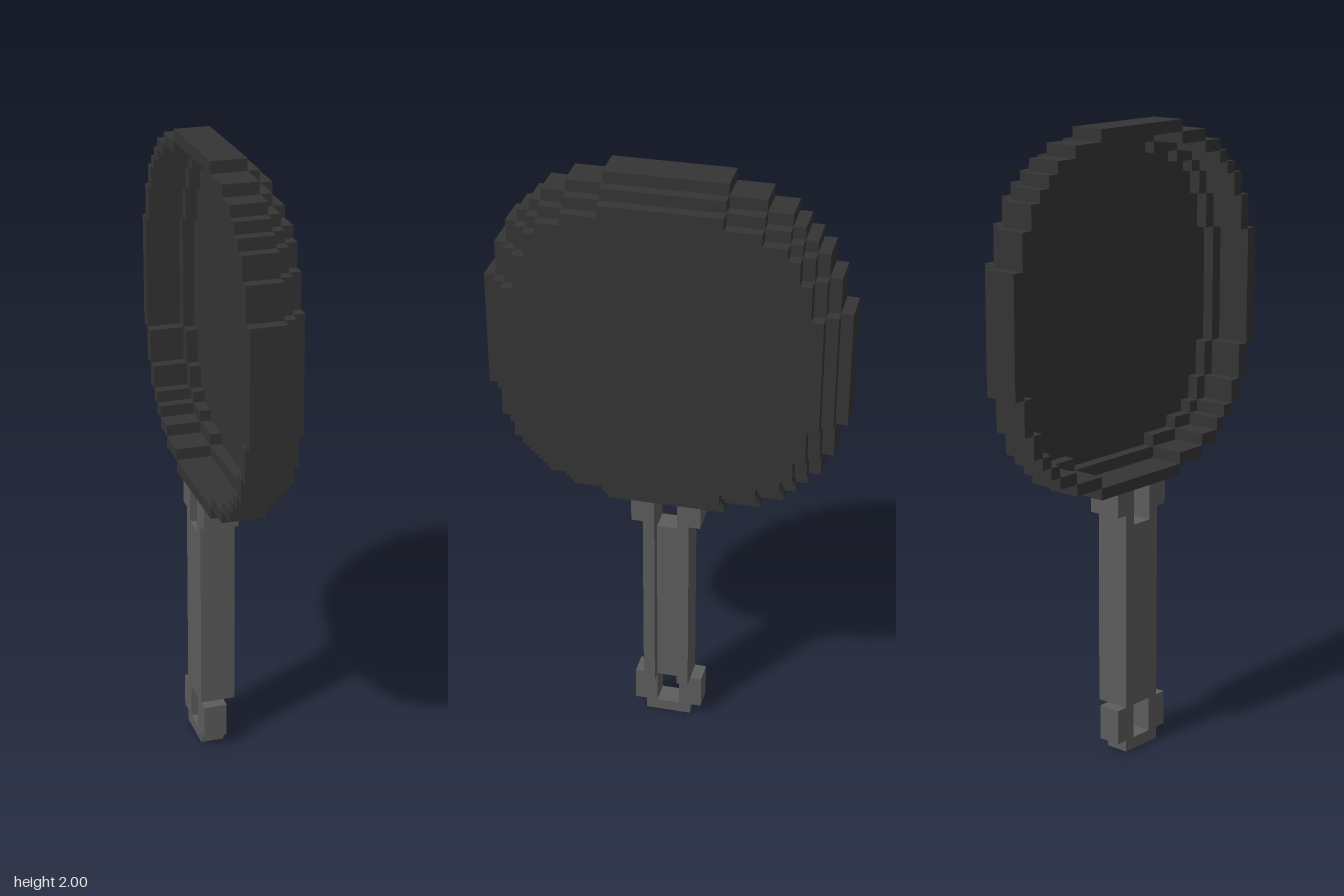
import * as THREE from 'three';
import { mergeGeometries } from 'three/addons/utils/BufferGeometryUtils.js';

const U = 2 / 53; // one block

// Block from min/max corners in block units (x and z from the centre, y from the ground)
function block(x0, x1, y0, y1, z0, z1) {
  const g = new THREE.BoxGeometry((x1 - x0) * U, (y1 - y0) * U, (z1 - z0) * U);
  return g.translate((x0 + x1) / 2 * U, (y0 + y1) / 2 * U, (z0 + z1) / 2 * U);
}

// The same block on both sides of the centre line
const pair = (x0, x1, y0, y1, z0, z1) => [block(x0, x1, y0, y1, z0, z1), block(x0, x1, y0, y1, -z1, -z0)];

// Stepped disc: half width of each row from the rim down to the middle
const outer = [5, 8, 10, 11, 12, 13, 13, 14, 14, 14, 15, 15, 15, 15, 15];
const inset = (rows) => rows.slice(0, -1).map((w, i) => Math.min(w, rows[i + 1] - 1));
const middle = inset(outer);
const inner = inset(middle);
const CENTRE = 38;

// One layer of the pan; with a hole it becomes a ring
function discLayer(x0, x1, rows, hole = []) {
  const parts = [];
  const n = rows.length;
  const holeAt = (i) => hole[i - (n - hole.length)] ?? 0;
  for (let i = 0; i < n;) {
    let j = i + 1;
    while (j < n && rows[j] === rows[i] && holeAt(j) === holeAt(i)) j++;
    const far = n - i, near = n - j, h = holeAt(i);
    // the middle run spans both halves
    const spans = near === 0 ? [[-far, far]] : [[near, far], [-far, -near]];
    for (const [a, b] of spans) {
      if (h) parts.push(...pair(x0, x1, CENTRE + a, CENTRE + b, h, rows[i]));
      else parts.push(block(x0, x1, CENTRE + a, CENTRE + b, -rows[i], rows[i]));
    }
    i = j;
  }
  return parts;
}

export function createModel() {
  const panMetal = new THREE.MeshStandardMaterial({ color: 0x343434 });
  panMetal.name = 'panMetal';
  const handleGrey = new THREE.MeshStandardMaterial({ color: 0x5c5c5c });
  handleGrey.name = 'handleGrey';

  const model = new THREE.Group();
  model.name = 'fryingPan';
  const add = (name, parts, material) => {
    const mesh = new THREE.Mesh(mergeGeometries(parts), material);
    mesh.name = name;
    model.add(mesh);
  };

  // Pan: deep rim, narrower step, solid base; open towards -x
  add('panRim', discLayer(-2.5, 0.5, outer, middle), panMetal);
  add('panStep', discLayer(0.5, 1.5, middle, inner), panMetal);
  add('panBase', discLayer(1.5, 2.5, inner), panMetal);

  // Handle: forked neck, shaft with a groove on +x, and a hanging loop
  add('handleNeck', [
    ...pair(-2.5, 0.5, 20, 23, 1, 2),
    ...pair(-2.5, 0.5, 21, 23, 2, 3),
  ], handleGrey);
  add('handleShaft', [block(-2.5, -0.5, 4, 20, -2, 2)], handleGrey);
  add('handleRails', pair(-0.5, 0.5, 4, 20, 1, 2), handleGrey);
  add('hangingLoop', [
    ...pair(-2.5, -0.5, 1, 4, 1, 3),
    block(-2.5, -0.5, 0, 1, -2, 2),
  ], handleGrey);

  return model;
}
